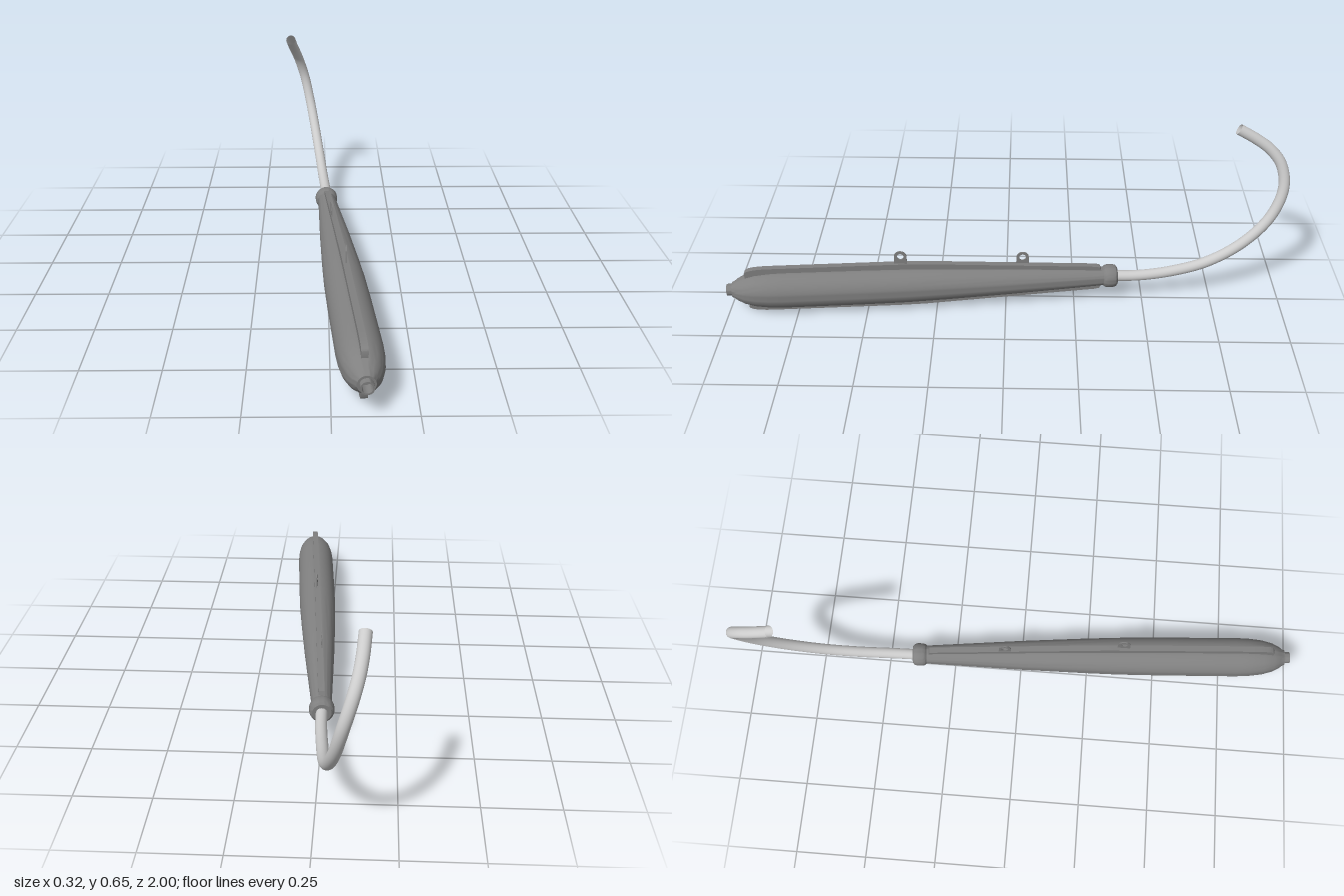
import * as THREE from 'three';
import { toCreasedNormals } from 'three/addons/utils/BufferGeometryUtils.js';

const dark = new THREE.MeshStandardMaterial({ color: 0x808080, side: THREE.DoubleSide });
const light = new THREE.MeshStandardMaterial({ color: 0xcccccc, side: THREE.DoubleSide });

function add(parent, name, geometry, material) {
  const mesh = new THREE.Mesh(geometry, material);
  mesh.name = name;
  parent.add(mesh);
  return mesh;
}

// Lathe about the z axis from [radius, z] pairs
function turned(points) {
  const g = new THREE.LatheGeometry(points.map(([r, z]) => new THREE.Vector2(r, z)), 48);
  return toCreasedNormals(g.rotateX(Math.PI / 2), 0.5);
}

// Plate drawn in the (z, y) plane, with its thickness centred on x = 0
function plate(shape, thickness) {
  const g = new THREE.ExtrudeGeometry(shape, { depth: thickness, bevelEnabled: false, curveSegments: 16 });
  return toCreasedNormals(g.translate(0, 0, -thickness / 2).rotateY(-Math.PI / 2), 0.5);
}

export function createModel() {
  const model = new THREE.Group();

  // Silencer assembly runs along its own z axis, slightly splayed to the left
  const silencer = new THREE.Group();
  silencer.name = 'silencer';
  silencer.position.set(0, 0.099, -0.38);
  silencer.rotation.set(0.006, 0.0724, 0, 'YXZ');
  model.add(silencer);

  // Long tapered body, with a hollow outlet at the front
  add(silencer, 'body', turned([
    [0, 0], [0.032, 0], [0.035, 0.05], [0.054, 0.38], [0.064, 0.6], [0.069, 0.74], [0.071, 0.9],
    [0.072, 1.18], [0.070, 1.23], [0.064, 1.28], [0.053, 1.32], [0.040, 1.345], [0.030, 1.358],
    [0.028, 1.364], [0.021, 1.364], [0.021, 1.384], [0.016, 1.384], [0.016, 1.34], [0, 1.34],
  ]), dark);

  // Rounded collar joining body and pipe
  add(silencer, 'collar', turned([
    [0.018, -0.024], [0.032, -0.024], [0.039, -0.018], [0.042, -0.008], [0.042, 0.012],
    [0.039, 0.022], [0.032, 0.029], [0.018, 0.029],
  ]), dark);

  // Seam fins along the top and bottom
  const fin = new THREE.Shape();
  fin.moveTo(0.03, 0.02);
  fin.lineTo(0.04, 0.046);
  fin.lineTo(0.06, 0.050);
  fin.lineTo(0.68, 0.089);
  fin.lineTo(0.78, 0.091);
  fin.lineTo(1.23, 0.091);
  fin.quadraticCurveTo(1.313, 0.09, 1.313, 0.072);
  fin.lineTo(1.313, 0.052);
  fin.lineTo(1.2, 0.02);
  for (const [name, turn] of [['topFin', 0], ['bottomFin', Math.PI]]) {
    add(silencer, name, plate(fin, 0.021).rotateZ(turn), dark);
  }

  // Thin hanger tabs with an eyelet
  const tab = new THREE.Shape();
  tab.moveTo(-0.025, -0.08);
  tab.lineTo(0.025, -0.08);
  tab.lineTo(0.022, 0);
  tab.absarc(0, 0, 0.022, 0, Math.PI, false);
  tab.closePath();
  const hole = new THREE.Path();
  hole.absarc(0, 0, 0.012, 0, Math.PI * 2, true);
  tab.holes.push(hole);
  for (const [name, x, y, z, turn] of [
    ['frontHanger', 0.057, 0.215, 0.375, 0], ['rearHanger', 0.016, 0.189, -0.06, 0.0724],
  ]) {
    const mesh = add(model, name, plate(tab, 0.004), dark);
    mesh.position.set(x, y, z);
    mesh.rotation.y = turn;
  }

  // Header pipe sweeping back, up and over
  const path = new THREE.CatmullRomCurve3([
    [0, 0.099, -0.37], [-0.003, 0.1, -0.48], [-0.012, 0.114, -0.6], [-0.024, 0.15, -0.73],
    [-0.042, 0.225, -0.855], [-0.064, 0.325, -0.945], [-0.088, 0.43, -0.98],
    [-0.112, 0.51, -0.965], [-0.128, 0.56, -0.925], [-0.137, 0.595, -0.875], [-0.143, 0.632, -0.808],
  ].map((p) => new THREE.Vector3(...p)));
  add(model, 'headerPipe', new THREE.TubeGeometry(path, 96, 0.0195, 24), light);

  return model;
}
